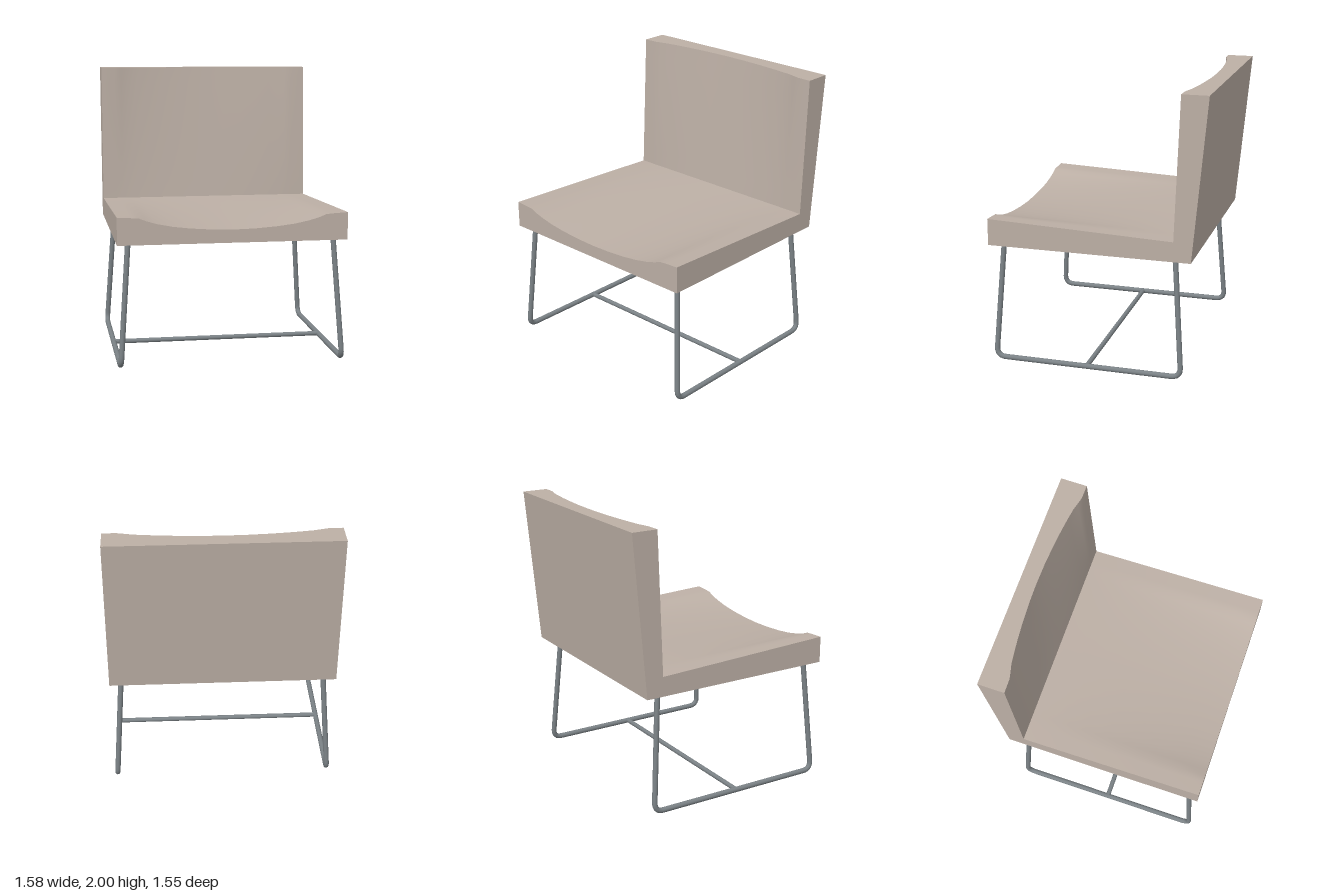
import * as THREE from 'three';

const upholstery = new THREE.MeshStandardMaterial({ name: 'taupe upholstery', color: 0xbcafa5 });
const steel = new THREE.MeshStandardMaterial({ name: 'grey steel', color: 0x7b8286 });

// Half-width stations: [x, height of seat front edge, z of backrest top front edge]
const stations = [
  [0, 0.95, -0.66], [0.15, 0.954, -0.657], [0.3, 0.965, -0.648], [0.42, 0.98, -0.637],
  [0.52, 1.0, -0.625], [0.59, 1.02, -0.615], [0.64, 1.04, -0.602], [0.69, 1.044, -0.59],
  [0.79, 1.05, -0.588],
];
const columns = [
  ...stations.slice(1).reverse().map(([x, y, z]) => [-x, y, z]),
  ...stations,
];

// Side profile as [z, y], walking up the front, over the seat and backrest, and down the rear
function profile([, frontY, topZ]) {
  return [[0.775, 0.86], [0.775, frontY], [-0.548, 1.0], [topZ, 2], [-0.775, 2], [-0.67, 0.86]];
}

// One-piece cushion: a smooth strip for each profile edge, closed by flat sides
function cushionGeometry() {
  const positions = [], indices = [], steps = 8;
  const profiles = columns.map(profile);
  for (let edge = 0; edge < 6; edge++) {
    const base = positions.length / 3;
    for (let s = 0; s <= steps; s++) {
      columns.forEach(([x], c) => {
        const a = profiles[c][edge], b = profiles[c][(edge + 1) % 6], t = s / steps;
        positions.push(x, a[1] + (b[1] - a[1]) * t, a[0] + (b[0] - a[0]) * t);
      });
    }
    const n = columns.length;
    for (let s = 0; s < steps; s++) {
      for (let c = 0; c < n - 1; c++) {
        const i = base + s * n + c;
        indices.push(i, i + 1, i + n + 1, i, i + n + 1, i + n);
      }
    }
  }
  // Sides fan out from the inner corner between seat and backrest
  for (const c of [0, columns.length - 1]) {
    const base = positions.length / 3;
    profiles[c].forEach(([z, y]) => positions.push(columns[c][0], y, z));
    for (const [p, q] of [[3, 4], [4, 5], [5, 0], [0, 1]]) {
      indices.push(base + 2, base + (c === 0 ? p : q), base + (c === 0 ? q : p));
    }
  }
  const geometry = new THREE.BufferGeometry();
  geometry.setAttribute('position', new THREE.Float32BufferAttribute(positions, 3));
  geometry.setIndex(indices);
  geometry.computeVertexNormals();
  return geometry;
}

// Bent tube through corner points, with rounded inner corners
function bentTube(points, bend, radius) {
  const path = new THREE.CurvePath();
  let start = points[0];
  for (let i = 1; i < points.length - 1; i++) {
    const corner = points[i];
    const toward = (p) => corner.clone().add(p.clone().sub(corner).setLength(bend));
    const enter = toward(points[i - 1]), leave = toward(points[i + 1]);
    path.add(new THREE.LineCurve3(start, enter));
    path.add(new THREE.QuadraticBezierCurve3(enter, corner, leave));
    start = leave;
  }
  path.add(new THREE.LineCurve3(start, points[points.length - 1]));
  return new THREE.TubeGeometry(path, 140, radius, 12, false);
}

export function createModel() {
  const model = new THREE.Group();
  model.name = 'chair';

  const add = (name, geometry, material) => {
    const mesh = new THREE.Mesh(geometry, material);
    mesh.name = name;
    model.add(mesh);
    return mesh;
  };

  add('seatAndBackrest', cushionGeometry(), upholstery);

  // Sled legs, splayed outward toward the floor
  for (const side of [-1, 1]) {
    const legPoints = [[0.71, 0.875, 0.685], [0.77, 0.02, 0.745], [0.77, 0.02, -0.607], [0.71, 0.875, -0.545]]
      .map(([x, y, z]) => new THREE.Vector3(side * x, y, z));
    add(side > 0 ? 'leftSledLeg' : 'rightSledLeg', bentTube(legPoints, 0.07, 0.019), steel);
  }

  // Crossbar joining the two sleds
  const bar = add('crossbar', new THREE.CylinderGeometry(0.017, 0.017, 1.54, 12), steel);
  bar.rotation.z = Math.PI / 2;
  bar.position.set(0, 0.022, 0.07);

  return model;
}
